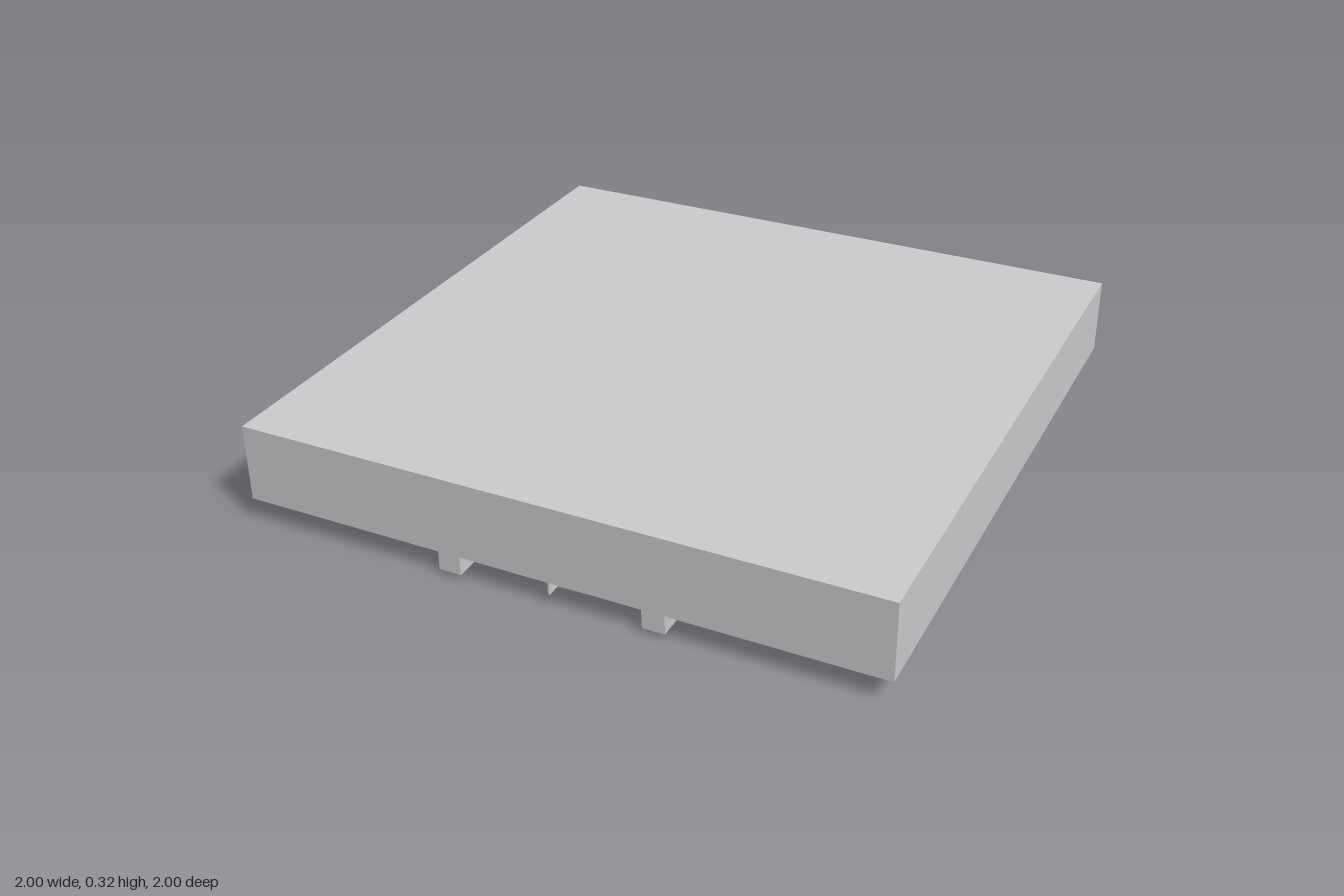
import * as THREE from 'three';

const material = new THREE.MeshStandardMaterial({ color: 0xcccccc, side: THREE.DoubleSide });
const flatMaterial = new THREE.MeshStandardMaterial({ color: 0xcccccc });

export function createModel() {
  const group = new THREE.Group();

  const add = (name, geometry, mat = flatMaterial) => {
    const mesh = new THREE.Mesh(geometry, mat);
    mesh.name = name;
    group.add(mesh);
    return mesh;
  };
  // Box given by its minimum and maximum corners
  const box = (name, [x0, y0, z0], [x1, y1, z1]) =>
    add(name, new THREE.BoxGeometry(x1 - x0, y1 - y0, z1 - z0))
      .position.set((x0 + x1) / 2, (y0 + y1) / 2, (z0 + z1) / 2);

  const slabBottom = 0.075;
  box('slab', [-1, slabBottom, -1], [1, 0.32, 1]);

  // Round rim under the slab: each wall band is its own lathe so its edges stay sharp
  const profile = [
    [0.89, slabBottom], [0.89, 0.015], [0.9, 0], [0.918, 0], [0.93, 0.015], [0.93, slabBottom],
  ].map(([r, y]) => new THREE.Vector2(r, y));
  for (let i = 0; i < profile.length - 1; i++) {
    add('rimBand', new THREE.LatheGeometry([profile[i], profile[i + 1]], 32), material);
  }

  // Pair of tabs flanking the front catch
  for (const side of [-1, 1]) {
    const x = side * 0.32;
    box('frontTab', [x - 0.035, 0.015, 0.89], [x + 0.035, slabBottom, 1]);
  }

  // Recessed catch with a chamfered lower edge
  const section = new THREE.Shape([
    new THREE.Vector2(-0.89, slabBottom), new THREE.Vector2(-0.89, 0.028),
    new THREE.Vector2(-0.935, 0.028), new THREE.Vector2(-0.94, 0.036),
    new THREE.Vector2(-0.94, slabBottom),
  ]);
  const catchBar = new THREE.ExtrudeGeometry(section, { depth: 0.57, bevelEnabled: false });
  catchBar.rotateY(Math.PI / 2).translate(-0.285, 0, 0);
  add('frontCatch', catchBar);

  // Thin centre rib on the catch
  box('centreRib', [-0.003, 0.036, 0.93], [0.003, slabBottom, 1]);

  return group;
}
